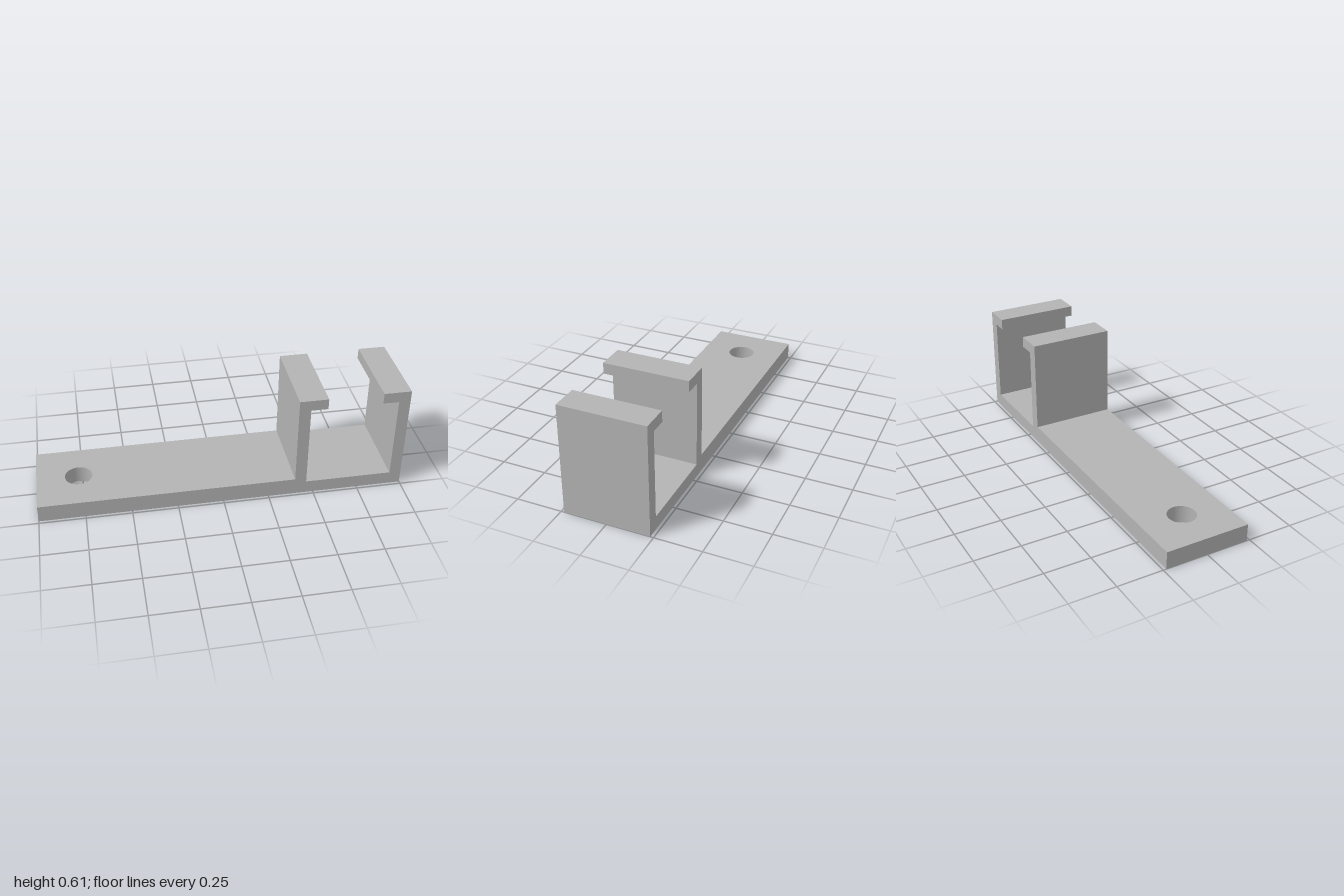
import * as THREE from 'three';

const DEPTH = 0.466;

function shapeFrom(points) {
  return new THREE.Shape(points.map(([x, y]) => new THREE.Vector2(x, y)));
}

export function createModel() {
  const group = new THREE.Group();
  group.name = 'mountingBracket';
  const grey = new THREE.MeshStandardMaterial({ color: 0xb3b3b3 });
  grey.name = 'plain grey';

  function addPart(name, geometry) {
    const mesh = new THREE.Mesh(geometry, grey);
    mesh.name = name;
    group.add(mesh);
  }

  // Flat mounting strip with a round screw hole, extruded upwards
  const left = -1, right = 0.397, half = DEPTH / 2;
  const strip = shapeFrom([[left, -half], [right, -half], [right, half], [left, half]]);
  const hole = new THREE.Path();
  hole.absarc(-0.77, 0, 0.075, 0, Math.PI * 2, true);
  strip.holes.push(hole);
  const stripGeometry = new THREE.ExtrudeGeometry(strip, {
    depth: 0.096, bevelEnabled: false, curveSegments: 32,
  });
  stripGeometry.rotateX(-Math.PI / 2);
  addPart('mountingStrip', stripGeometry);

  // Open-topped channel with inward lips, extruded from back to front
  const channel = shapeFrom([
    [right, 0], [1, 0], [1, 0.605], [0.85, 0.605], [0.85, 0.545], [0.937, 0.545],
    [0.937, 0.073], [0.46, 0.073], [0.46, 0.545], [0.552, 0.545], [0.552, 0.605], [right, 0.605],
  ]);
  const channelGeometry = new THREE.ExtrudeGeometry(channel, { depth: DEPTH, bevelEnabled: false });
  channelGeometry.translate(0, 0, -half);
  addPart('lippedChannel', channelGeometry);

  return group;
}
